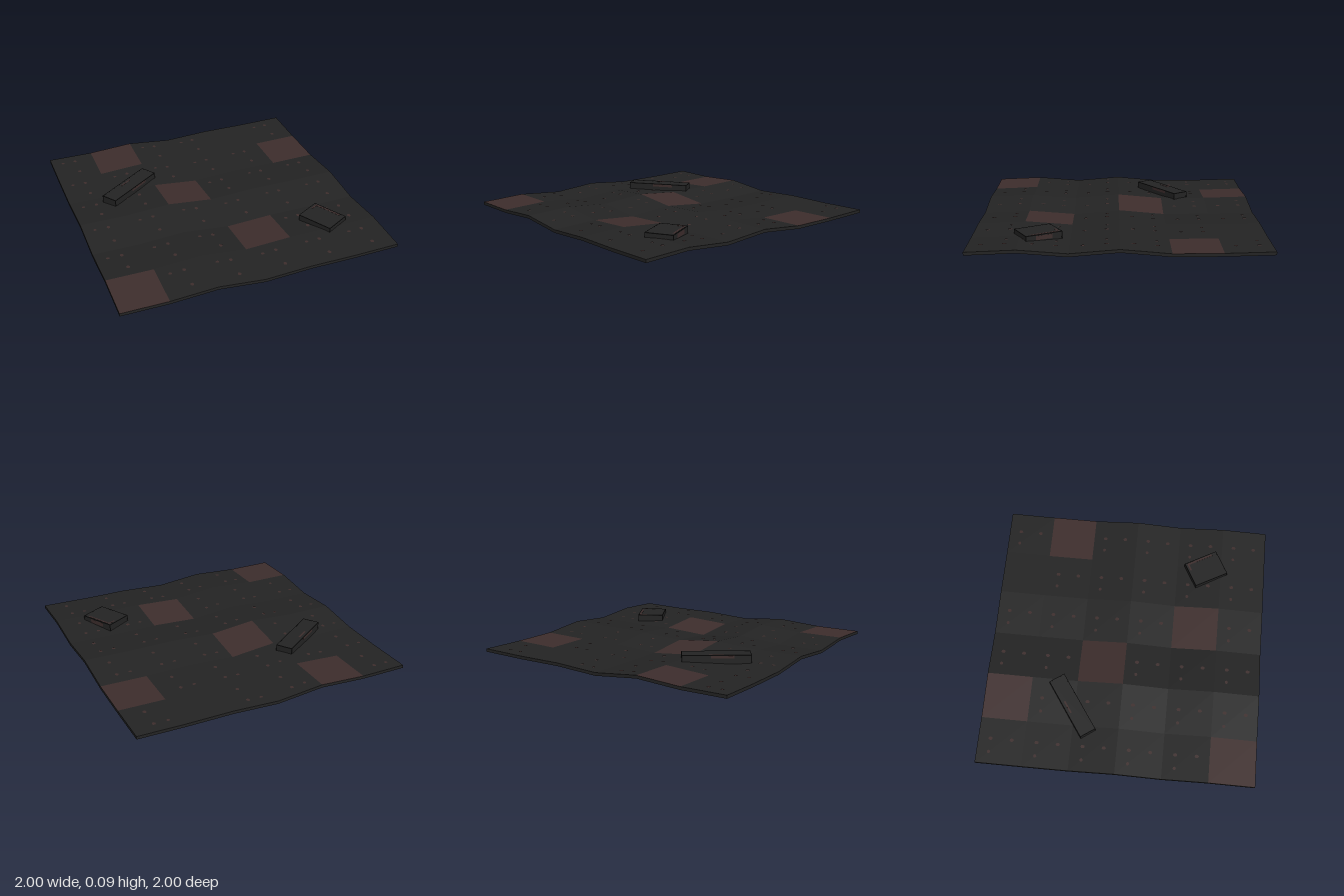
import * as THREE from 'three';

const N = 6, CELL = 2 / N, MID = 0.04, DEPTH = 0.022;
// height profiles along x and z, at the seven grid lines
const ALONG_X = [0.045, 0.043, 0.062, 0.027, 0.043, 0.042, 0.048];
const ALONG_Z = [0.045, 0.036, 0.034, 0.064, 0.036, 0.062, 0.048];
// cells (column, row) of bare earth
const EARTH = [[1, 0], [5, 1], [2, 2], [3, 4], [0, 5]];
const isEarth = (i, j) => EARTH.some(([a, b]) => a === i && b === j);

function sample(list, v) {
  const t = Math.min(Math.max((v + 1) / CELL, 0), N - 1e-6);
  const i = Math.floor(t);
  return THREE.MathUtils.lerp(list[i], list[i + 1], t - i);
}
const height = (x, z) => sample(ALONG_X, x) + sample(ALONG_Z, z) - MID;

function quadMesh(name, quads, material) {
  const pos = [];
  for (const [a, b, c, d] of quads) pos.push(...a, ...b, ...c, ...a, ...c, ...d);
  const g = new THREE.BufferGeometry();
  g.setAttribute('position', new THREE.Float32BufferAttribute(pos, 3));
  g.computeVertexNormals();
  const m = new THREE.Mesh(g, material);
  m.name = name;
  return m;
}

export function createModel() {
  const make = (name, color, side = THREE.FrontSide) => {
    const m = new THREE.MeshStandardMaterial({ color, side });
    m.name = name;
    return m;
  };
  const charcoal = make('charcoal', 0x232323, THREE.DoubleSide);
  const brown = make('dull brown', 0x3d2d2c, THREE.DoubleSide);
  const black = make('edge black', 0x121212, THREE.DoubleSide);
  const model = new THREE.Group();
  model.name = 'groundTile';

  // uneven ground sheet, split by colour
  const plain = [], earth = [];
  const at = (i, j) => {
    const x = -1 + i * CELL, z = -1 + j * CELL;
    return [x, height(x, z), z];
  };
  for (let i = 0; i < N; i++) for (let j = 0; j < N; j++) {
    const quad = [at(i, j), at(i, j + 1), at(i + 1, j + 1), at(i + 1, j)];
    (isEarth(i, j) ? earth : plain).push(quad);
  }
  model.add(quadMesh('ground', plain, charcoal), quadMesh('earthPatches', earth, brown));

  // thin rim around the sheet
  const rim = [];
  const drop = ([x, y, z]) => [x, Math.max(0, y - DEPTH), z];
  const wall = (a, b) => rim.push([a, drop(a), drop(b), b]);
  for (let k = 0; k < N; k++) {
    wall(at(k, N), at(k + 1, N));
    wall(at(k + 1, 0), at(k, 0));
    wall(at(N, k + 1), at(N, k));
    wall(at(0, k), at(0, k + 1));
  }
  model.add(quadMesh('rim', rim, charcoal));

  // small specks, three per plain cell
  const specks = new THREE.Group();
  specks.name = 'specks';
  const speck = new THREE.CircleGeometry(0.013, 7).rotateX(-Math.PI / 2);
  for (let i = 0; i < N; i++) for (let j = 0; j < N; j++) {
    if (isEarth(i, j) || (i === 4 && j === 0)) continue;
    for (const [dx, dz] of [[0.085, 0.088], [0.183, 0.088], [0.183, 0.242]]) {
      const x = -1 + i * CELL + dx, z = -1 + j * CELL + dz;
      const m = new THREE.Mesh(speck, brown);
      m.name = 'speck';
      m.position.set(x, height(x, z) + 0.003, z);
      m.scale.z = dx > 0.1 ? 1.2 : 0.9;
      specks.add(m);
    }
  }
  model.add(specks);

  // half-buried block with dark edges; stains are [width, height, depth, x, y, z]
  function block(name, w, h, d, x, y, z, turn, stains) {
    const g = new THREE.Group();
    g.name = name;
    const box = (part, material, bw, bh, bd, px, py, pz) => {
      const m = new THREE.Mesh(new THREE.BoxGeometry(bw, bh, bd), material);
      m.name = part;
      m.position.set(px, py, pz);
      g.add(m);
    };
    box('body', charcoal, w, h, d, 0, 0, 0);
    const t = 0.005;
    for (const s of [-1, 1]) for (const v of [-1, 1]) {
      box('edge', black, w, t, t, 0, v * (h - t + 0.001) / 2, s * (d - t + 0.001) / 2);
      box('edge', black, t, t, d, s * (w - t + 0.001) / 2, v * (h - t + 0.001) / 2, 0);
      box('edge', black, t, h, t, s * (w - t + 0.001) / 2, 0, v * (d - t + 0.001) / 2);
    }
    for (const s of stains) box('stain', brown, ...s);
    g.position.set(x, y, z);
    g.rotation.y = turn;
    model.add(g);
  }
  block('longBlock', 0.474, 0.085, 0.122, -0.53, 0.0575, -0.35, 0.605, [
    [0.1, 0.002, 0.012, 0.0, 0.0425, -0.035],
    [0.16, 0.018, 0.002, 0.04, 0.03, 0.061],
    [0.16, 0.018, 0.002, -0.04, 0.03, -0.061],
  ]);
  block('shortBlock', 0.2, 0.075, 0.264, 0.645, 0.0575, 0.55, 0.5, [
    [0.014, 0.002, 0.2, 0.085, 0.0375, -0.01],
    [0.06, 0.002, 0.012, 0.06, 0.0375, -0.11],
    [0.002, 0.03, 0.12, 0.1, 0.015, 0],
    [0.08, 0.014, 0.002, 0.02, 0.0, 0.132],
  ]);
  return model;
}
